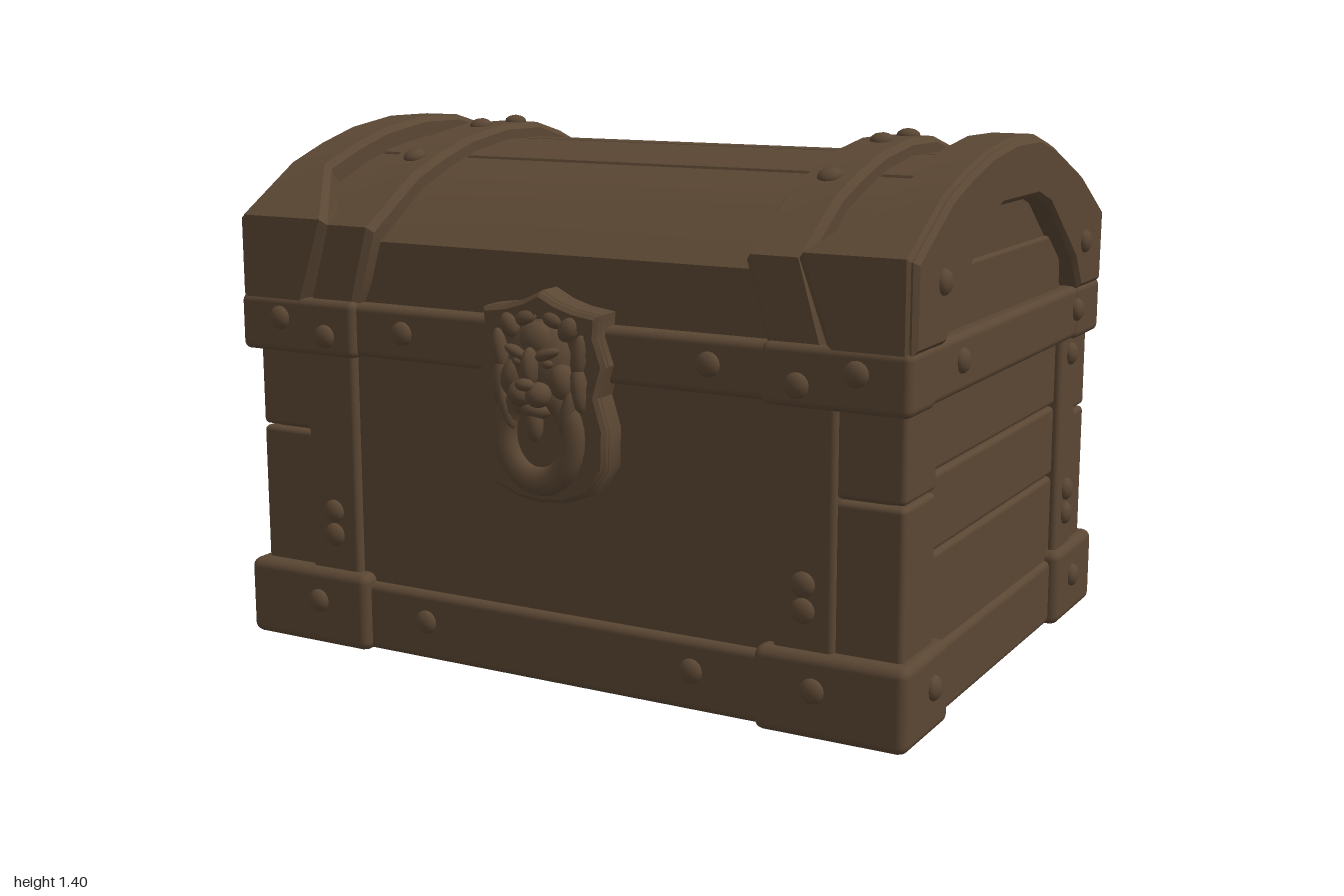
import * as THREE from 'three';
import { toCreasedNormals } from 'three/addons/utils/BufferGeometryUtils.js';
import { RoundedBoxGeometry } from 'three/addons/geometries/RoundedBoxGeometry.js';

// Lid arch as [z, y], from the front hem over the top to the back hem
const ARCH = [[0.66, 0.95], [0.66, 1.17], [0.45, 1.295], [0.32, 1.34], [0.18, 1.377], [0, 1.4], [-0.18, 1.398],
  [-0.31, 1.365], [-0.55, 1.275], [-0.755, 1.16], [-0.75, 0.95]];
const LAST = ARCH.length - 1;
const inset = ([z, y], d) => [-0.05 + (z + 0.05) * (1 - d / 0.7), y > 1 ? y - d : y];
const archAt = (d) => ARCH.map((p) => inset(p, d));

// Height of the arch at a given z
function archY(z, d) {
  const p = archAt(d).slice(1, -1);
  const i = p.findIndex((q, k) => k < p.length - 1 && q[0] >= z && p[k + 1][0] <= z);
  return THREE.MathUtils.mapLinear(z, p[i][0], p[i + 1][0], p[i][1], p[i + 1][1]);
}

// Solid with a [z, y] section running along x
function alongX(points, x0, x1, bevel) {
  const shape = new THREE.Shape(points.map(([z, y]) => new THREE.Vector2(-z, y)));
  const g = new THREE.ExtrudeGeometry(shape, {
    depth: x1 - x0 - 2 * bevel, bevelEnabled: bevel > 0, bevelSize: bevel, bevelThickness: bevel,
    bevelOffset: -bevel, bevelSegments: 1,
  });
  g.rotateY(Math.PI / 2).translate(x0 + bevel, 0, 0);
  return toCreasedNormals(g, 0.4);
}

// Chamfered iron strip following the arch; edges gives [x0, x1] for each arch point
function archStrip(edges, top, bottom) {
  const c = 0.015, pos = [], index = [], n = 6;
  ARCH.forEach((p, i) => {
    const [a, b] = edges(i);
    const ring = [[a, bottom], [a, top + c], [a + c, top], [b - c, top], [b, top + c], [b, bottom]];
    for (const [x, d] of ring) {
      const [z, y] = inset(p, d);
      pos.push(x, y, z);
    }
    if (i === LAST) return;
    for (let k = 0; k < n; k++) {
      const q = i * n + k, r = i * n + (k + 1) % n;
      index.push(q, r, r + n, q, r + n, q + n);
    }
  });
  for (let k = 1; k < n - 1; k++) {
    const e = LAST * n;
    index.push(0, k + 1, k, e, e + k, e + k + 1);
  }
  const g = new THREE.BufferGeometry();
  g.setAttribute('position', new THREE.Float32BufferAttribute(pos, 3));
  g.setIndex(index);
  return toCreasedNormals(g, 0.4);
}

export function createModel() {
  const model = new THREE.Group();
  model.name = 'treasureChest';
  const brown = new THREE.MeshStandardMaterial({ color: 0x5a4633 });
  brown.name = 'dark brown';

  const add = (name, geometry, parent = model) => {
    const m = new THREE.Mesh(geometry, brown);
    m.name = name;
    parent.add(m);
    return m;
  };
  const box = (name, x0, x1, y0, y1, z0, z1, r = 0.014) => {
    const g = new RoundedBoxGeometry(x1 - x0, y1 - y0, z1 - z0, 2, r);
    return add(name, g.translate((x0 + x1) / 2, (y0 + y1) / 2, (z0 + z1) / 2));
  };
  // Box repeated on the left and right
  const pair = (name, x0, x1, ...rest) => {
    box(name, x0, x1, ...rest);
    box(name, -x1, -x0, ...rest);
  };
  const rivetShape = new THREE.SphereGeometry(0.032, 12, 8).scale(1, 1, 0.62);
  const rivet = (x, y, z, direction) => {
    const m = add('rivet', rivetShape);
    m.position.set(x, y, z);
    m.quaternion.setFromUnitVectors(new THREE.Vector3(0, 0, 1), direction.normalize());
  };

  // Body core and planks
  box('bodyCore', -0.92, 0.92, 0.02, 0.95, -0.705, 0.595);
  box('frontBoard', -0.63, 0.63, 0.15, 0.83, 0.5, 0.615);
  for (const [y0, y1] of [[0.15, 0.425], [0.43, 0.625], [0.63, 0.83]]) {
    box('backPlank', -0.63, 0.63, y0, y1, -0.725, -0.6);
    pair('sidePlank', 0.85, 0.94, y0, y1, -0.5, 0.44);
  }
  for (const [y0, y1] of [[0.15, 0.585], [0.59, 0.83]]) {
    pair('frontCornerPlank', 0.77, 0.95, y0, y1, 0.425, 0.62);
    pair('backCornerPlank', 0.77, 0.95, y0, y1, -0.73, -0.61);
  }

  // Upright straps
  pair('frontStrap', 0.62, 0.78, 0.15, 0.83, 0.55, 0.636);
  pair('backStrap', 0.62, 0.78, 0.15, 0.83, -0.745, -0.65);
  pair('sideStrap', 0.88, 0.959, 0.15, 0.83, -0.62, -0.48);

  // Base frame with corner blocks
  box('baseFrame', -0.955, 0.955, 0.004, 0.19, -0.74, 0.64, 0.02);
  pair('frontBaseCorner', 0.58, 0.98, 0, 0.213, 0.38, 0.665, 0.025);
  pair('backBaseCorner', 0.58, 0.98, 0, 0.213, -0.765, -0.45, 0.025);

  // Iron band under the lid
  box('rimBand', -0.96, 0.96, 0.81, 0.952, -0.745, 0.648, 0.02);
  pair('frontRimCorner', 0.595, 0.975, 0.805, 0.957, 0.5, 0.665, 0.02);
  pair('backRimCorner', 0.595, 0.975, 0.805, 0.957, -0.76, -0.55, 0.02);
  pair('sideRim', 0.9, 0.97, 0.808, 0.955, -0.7, 0.6, 0.02);

  // Lid boards: arch section with grooves between the planks
  const section = archAt(0.055);
  for (const z of [0.205, -0.075, -0.305]) {
    const at = section.findIndex((p) => p[0] < z);
    const notch = [[0.009, 0], [0, 0.025], [-0.009, 0]];
    section.splice(at, 0, ...notch.map(([dz, dy]) => [z + dz, archY(z + dz, 0.055) - dy]));
  }
  add('lidBoards', alongX(section, -0.92, 0.92, 0));

  // Lid straps, end caps and arched end frames
  const hem = (i) => i === 0 || i === LAST;
  const knee = (i) => i === 1 || i === LAST - 1;
  const strapEdge = (i) => (hem(i) ? [0.6, 0.755] : [0.543, 0.697]);
  const capEdge = (i) => [hem(i) ? 0.76 : knee(i) ? 0.685 : 0.83, 0.97];
  const archFrame = [...archAt(0.008), [-0.56, 0.95], [-0.5, 1.04], [-0.27, 1.21], [-0.17, 1.24], [0.1, 1.24],
    [0.2, 1.2], [0.41, 1.03], [0.46, 0.95]];
  for (const s of [1, -1]) {
    const side = (edge) => (i) => (s > 0 ? edge(i) : edge(i).map((x) => -x).reverse());
    add('lidStrap', archStrip(side(strapEdge), 0.014, 0.09));
    add('lidCap', archStrip(side(capEdge), 0, 0.09));
    add('archFrame', s > 0 ? alongX(archFrame, 0.89, 0.98, 0.012) : alongX(archFrame, -0.98, -0.89, 0.012));
  }
  for (const y of [1.11]) pair('lidEndPlank', 0.88, 0.932, 0.94, y, -0.52, 0.43, 0.01);

  // Rivets
  for (const s of [1, -1]) {
    for (const [x, y, z] of [[0.74, 0.125, 0.665], [0.4, 0.11, 0.64], [0.7, 0.31, 0.636], [0.7, 0.375, 0.636],
      [0.45, 0.885, 0.648], [0.69, 0.86, 0.665], [0.84, 0.9, 0.665]]) {
      rivet(s * x, y, z, new THREE.Vector3(0, 0, 1));
      rivet(s * x, y, -z - 0.105, new THREE.Vector3(0, 0, -1));
    }
    for (const [z, y, x] of [[0.49, 0.12, 0.98], [-0.58, 0.12, 0.98], [0.33, 0.89, 0.97], [-0.56, 0.89, 0.972],
      [-0.56, 0.765, 0.959], [-0.56, 0.375, 0.959], [-0.56, 0.305, 0.959], [0.49, 1.1, 0.98], [-0.58, 1.08, 0.98]]) {
      rivet(s * x, y, z, new THREE.Vector3(s, 0, 0));
    }
    for (const z of [0.34, 0.02, -0.16, -0.6]) {
      const slope = archY(z + 0.02, 0.014) - archY(z - 0.02, 0.014);
      rivet(s * 0.62, archY(z, 0.014), z, new THREE.Vector3(0, 0.04, -slope));
    }
  }

  // Lock plate with a raised rim
  const lock = new THREE.Group();
  lock.name = 'lionLock';
  model.add(lock);
  const half = [[0, 1.035], [0.05, 1.01], [0.1, 0.995], [0.17, 0.985], [0.165, 0.93], [0.19, 0.86], [0.165, 0.78],
    [0.19, 0.7], [0.187, 0.6], [0.14, 0.53], [0.07, 0.503], [0, 0.495]];
  const outline = [...half, ...half.slice(1, -1).reverse().map(([x, y]) => [-x, y])];
  const plate = (scale) => outline.map(([x, y]) => new THREE.Vector2(x * scale, 0.765 + (y - 0.765) * scale));
  const extrude = (shape, z0, z1) => toCreasedNormals(new THREE.ExtrudeGeometry(shape, {
    depth: z1 - z0 - 0.01, bevelThickness: 0.01, bevelSize: 0.01, bevelOffset: -0.01, bevelSegments: 1,
  }).translate(0, 0, z0), 0.6);
  add('lockPlate', extrude(new THREE.Shape(plate(1)), 0.6, 0.68), lock);
  const rim = new THREE.Shape(plate(0.99));
  rim.holes.push(new THREE.Path(plate(0.84)));
  add('lockRim', extrude(rim, 0.66, 0.692), lock);

  // Knocker ring
  const ring = add('knockerRing', new THREE.TorusGeometry(0.1, 0.032, 10, 32), lock);
  ring.scale.set(1, 1.15, 0.8);
  ring.position.set(0, 0.67, 0.695);

  // Lion head: [name, x, y, z, radius x, y, z, roll]; off-centre pieces are mirrored
  const ball = new THREE.SphereGeometry(1, 16, 12);
  const pieces = [
    ['skull', 0, 0.86, 0.675, 0.09, 0.105, 0.055, 0],
    ['forehead', 0, 0.91, 0.695, 0.05, 0.05, 0.035, 0],
    ['ear', 0.085, 0.945, 0.69, 0.025, 0.033, 0.022, -0.5],
    ['brow', 0.043, 0.885, 0.722, 0.038, 0.014, 0.018, 0.35],
    ['eye', 0.042, 0.86, 0.718, 0.016, 0.011, 0.012, 0.2],
    ['cheek', 0.07, 0.815, 0.695, 0.035, 0.05, 0.035, 0.2],
    ['noseBridge', 0, 0.852, 0.73, 0.022, 0.05, 0.03, 0],
    ['nose', 0, 0.812, 0.757, 0.026, 0.016, 0.02, 0],
    ['muzzle', 0.026, 0.785, 0.735, 0.033, 0.032, 0.034, 0.3],
    ['jaw', 0, 0.74, 0.705, 0.042, 0.024, 0.032, 0],
    ['beard', 0, 0.705, 0.715, 0.024, 0.045, 0.022, 0],
    ['maneTuft', 0.115, 0.88, 0.69, 0.02, 0.055, 0.02, -0.15],
    ['maneTuft', 0.115, 0.8, 0.69, 0.022, 0.06, 0.024, 0.1],
    ['maneTuft', 0.088, 0.74, 0.7, 0.02, 0.06, 0.024, -0.25],
    ['maneTuft', 0.04, 0.965, 0.685, 0.03, 0.02, 0.02, -0.3],
  ];
  for (const [name, x, y, z, rx, ry, rz, roll] of pieces) {
    for (const s of x ? [1, -1] : [1]) {
      const m = add(name, ball, lock);
      m.position.set(s * x, y, z);
      m.scale.set(rx, ry, rz);
      m.rotation.z = s * roll;
    }
  }
  return model;
}
